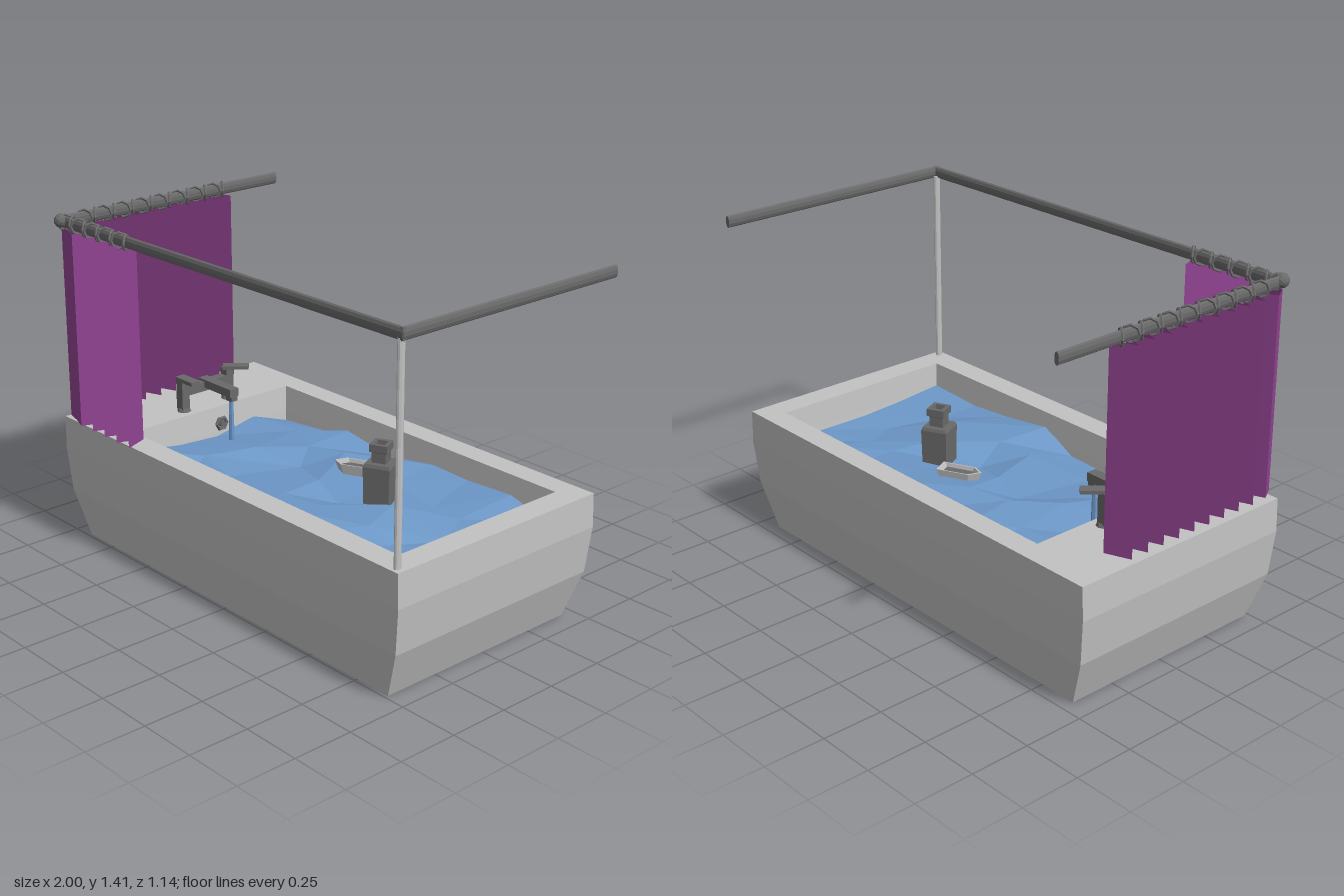
import * as THREE from 'three';

const mat = (name, color) => {
  const m = new THREE.MeshStandardMaterial({ color, flatShading: true });
  m.name = name;
  return m;
};

// Closed solid through matching polygon loops, capped at the first and last loop
function loft(loops) {
  const pos = [];
  const tri = (a, b, c) => pos.push(...a, ...b, ...c);
  const n = loops[0].length;
  for (let k = 0; k < loops.length - 1; k++) {
    const lo = loops[k], hi = loops[k + 1];
    for (let i = 0; i < n; i++) {
      const j = (i + 1) % n;
      tri(lo[i], lo[j], hi[j]);
      tri(lo[i], hi[j], hi[i]);
    }
  }
  const first = loops[0], last = loops[loops.length - 1];
  for (let i = 1; i < n - 1; i++) {
    tri(first[0], first[i + 1], first[i]);
    tri(last[0], last[i], last[i + 1]);
  }
  const g = new THREE.BufferGeometry();
  g.setAttribute('position', new THREE.Float32BufferAttribute(pos, 3));
  g.computeVertexNormals();
  return g;
}

const rect = (x0, x1, z0, z1, y) => [[x0, y, z1], [x1, y, z1], [x1, y, z0], [x0, y, z0]];
const square = (h, y) => rect(-h, h, -h, h, y);

export function createModel() {
  const root = new THREE.Group();
  root.name = 'bathtub';
  const porcelain = mat('porcelain', 0xc2c2c2);
  const metal = mat('darkMetal', 0x6a6a6a);
  const waterBlue = mat('waterBlue', 0x6d98c8);
  const purple = mat('curtainPurple', 0x924492);
  purple.side = THREE.DoubleSide;
  waterBlue.side = THREE.DoubleSide;

  const add = (parent, name, geo, material, x = 0, y = 0, z = 0) => {
    const m = new THREE.Mesh(geo, material);
    m.name = name;
    m.position.set(x, y, z);
    parent.add(m);
    return m;
  };
  const box = (parent, name, material, x0, x1, y0, y1, z0, z1) =>
    add(parent, name, new THREE.BoxGeometry(x1 - x0, y1 - y0, z1 - z0), material,
      (x0 + x1) / 2, (y0 + y1) / 2, (z0 + z1) / 2);

  // Tub shell: outside, rim, inner walls and floor
  add(root, 'tub', loft([
    rect(-0.91, 0.91, -0.445, 0.485, 0),
    rect(-0.98, 0.98, -0.48, 0.52, 0.2),
    rect(-1, 1, -0.493, 0.53, 0.39),
    rect(-0.995, 0.995, -0.493, 0.53, 0.527),
    rect(-0.66, 0.89, -0.395, 0.425, 0.527),
    rect(-0.645, 0.878, -0.382, 0.412, 0.42),
    rect(-0.61, 0.84, -0.35, 0.38, 0.12),
  ]), porcelain);

  // Faceted water surface
  let seed = 7;
  const rnd = () => (seed = (seed * 16807) % 2147483647) / 2147483647 - 0.5;
  const NX = 7, NZ = 4;
  const water = new THREE.PlaneGeometry(1.525, 0.797, NX, NZ).rotateX(-Math.PI / 2);
  const wp = water.attributes.position;
  for (let i = 0; i < wp.count; i++) {
    const c = i % (NX + 1), r = Math.floor(i / (NX + 1));
    if (c > 0 && c < NX) wp.setX(i, wp.getX(i) + rnd() * 0.14);
    if (r > 0 && r < NZ) wp.setZ(i, wp.getZ(i) + rnd() * 0.12);
    wp.setY(i, rnd() * 0.09);
  }
  add(root, 'water', water.toNonIndexed(), waterBlue, 0.116, 0.42, 0.015).geometry.computeVertexNormals();

  // Curtain rails, oval in section, and the corner post
  const rail = (name, ax, az, bx, bz) => {
    const len = Math.hypot(bx - ax, bz - az);
    const g = new THREE.CylinderGeometry(1, 1, len, 10).rotateX(Math.PI / 2).scale(0.011, 0.025, 1);
    add(root, name, g, metal, (ax + bx) / 2, 1.376, (az + bz) / 2).lookAt(bx, 1.376, bz);
  };
  rail('frontRail', -0.945, 0.53, 0.985, 0.508);
  rail('rightRail', -0.935, 0.545, -0.935, -0.575);
  rail('leftRail', 0.977, 0.515, 0.977, -0.565);
  add(root, 'railElbow', new THREE.IcosahedronGeometry(0.03, 1), metal, -0.935, 1.38, 0.54);
  add(root, 'cornerPost', new THREE.CylinderGeometry(1, 1, 0.84, 10).scale(0.011, 1, 0.015),
    porcelain, 0.965, 0.94, 0.503);

  // Pleated curtain running along the side and round the corner
  const path = [];
  for (let i = 0; i <= 18; i++) path.push([i % 2 ? -0.992 : -0.89, -0.29 + 0.04 * i]);
  path.push([-0.985, 0.47], [-0.95, 0.53], [-0.89, 0.545]);
  for (let j = 0; j <= 8; j++) path.push([-0.82 + 0.041 * j, j % 2 ? 0.468 : 0.57]);
  const cloth = new THREE.PlaneGeometry(1, 1, path.length - 1, 1);
  const cp = cloth.attributes.position;
  for (let i = 0; i < cp.count; i++) {
    const [x, z] = path[i % path.length];
    cp.setXYZ(i, x, i < path.length ? 1.352 : 0.545, z);
  }
  add(root, 'curtain', cloth.toNonIndexed(), purple).geometry.computeVertexNormals();

  // Curtain rings, tilted alternately
  const rings = new THREE.Group();
  rings.name = 'curtainRings';
  root.add(rings);
  const ringGeo = new THREE.TorusGeometry(0.031, 0.006, 5, 8);
  for (let i = 0; i < 16; i++) {
    add(rings, 'sideRing', ringGeo, metal, -0.935, 1.374, -0.28 + i * 0.047).rotation.y = i % 2 ? 0.6 : -0.6;
  }
  for (let i = 0; i < 10; i++) {
    add(rings, 'frontRing', ringGeo, metal, -0.92 + i * 0.045, 1.374, 0.528).rotation.y =
      Math.PI / 2 + (i % 2 ? 0.6 : -0.6);
  }

  // Tap: cross bar, two valves with handles, spout and stream
  const tap = new THREE.Group();
  tap.name = 'tap';
  root.add(tap);
  box(tap, 'crossBar', metal, -0.74, -0.7, 0.595, 0.635, -0.13, 0.14);
  for (const z of [0.122, -0.115]) {
    add(tap, 'valveFoot', new THREE.CylinderGeometry(0.024, 0.03, 0.014, 8), metal, -0.715, 0.534, z);
    box(tap, 'valve', metal, -0.74, -0.7, 0.535, 0.665, z - 0.019, z + 0.019);
  }
  box(tap, 'handle', metal, -0.74, -0.63, 0.662, 0.678, 0.1, 0.145);
  box(tap, 'turnedHandle', metal, -0.745, -0.635, 0.662, 0.676, -0.162, -0.118).rotation.y = 0.85;
  box(tap, 'spout', metal, -0.74, -0.53, 0.61, 0.645, -0.022, 0.022);
  box(tap, 'spoutTip', metal, -0.565, -0.53, 0.59, 0.612, -0.016, 0.016);
  add(tap, 'waterStream', new THREE.CylinderGeometry(0.01, 0.014, 0.2, 6), waterBlue, -0.548, 0.492, 0.003);

  // Overflow on the inner wall
  const overflow = add(root, 'overflow', new THREE.TorusGeometry(0.026, 0.009, 5, 6), metal, -0.642, 0.455, -0.02);
  overflow.rotation.y = Math.PI / 2;
  const plug = add(root, 'overflowCap', new THREE.CylinderGeometry(0.014, 0.014, 0.02, 6), metal, -0.642, 0.455, -0.02);
  plug.rotation.z = Math.PI / 2;

  // Floating bottle: square body, flared neck, hollow top
  add(root, 'bottle', loft([
    square(0.052, 0.4), square(0.055, 0.555), square(0.05, 0.568), square(0.029, 0.568),
    square(0.029, 0.61), square(0.037, 0.615), square(0.037, 0.645),
    square(0.022, 0.645), square(0.019, 0.615),
  ]), metal, 0.305, 0, -0.048).rotation.y = 0.45;

  // Toy boat: pointed hull with a sunken deck
  const boat = new THREE.Group();
  boat.name = 'toyBoat';
  boat.position.set(0.087, 0.42, -0.125);
  boat.rotation.y = 0.45;
  root.add(boat);
  const hull = (s, y) => [[-0.095, 0], [-0.055, 0.038], [0.085, 0.038], [0.085, -0.038], [-0.055, -0.038]]
    .map(([x, z]) => [x * s, y, z * s]);
  add(boat, 'hull', loft([hull(0.75, -0.01), hull(1, 0.05), hull(0.88, 0.05), hull(0.78, 0.03)]), porcelain);
  add(boat, 'deck', loft([hull(0.76, 0.029), hull(0.79, 0.034)]), metal);
  return root;
}
